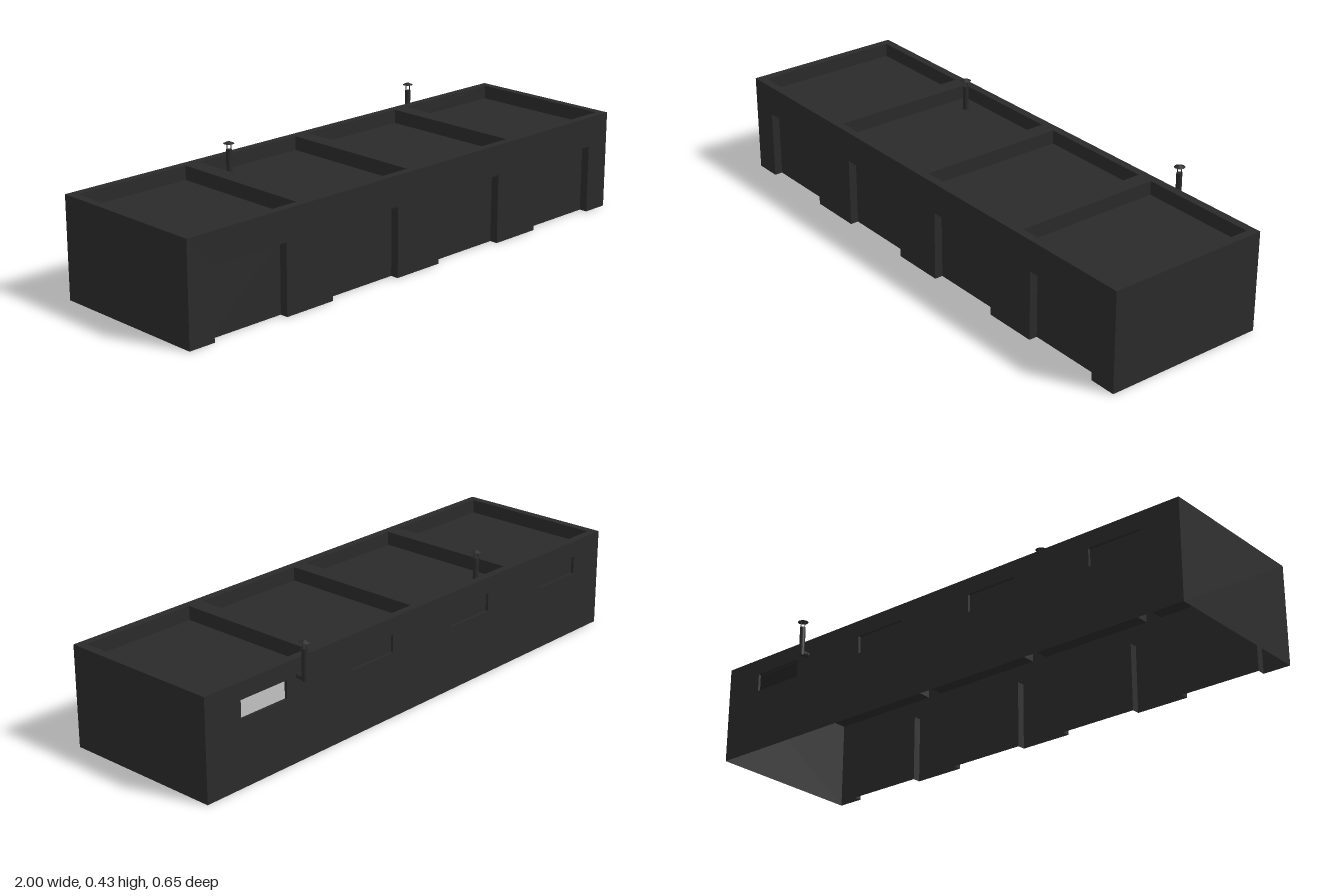
import * as THREE from 'three';

export function createModel() {
  const root = new THREE.Group();
  root.name = 'garageRow';
  const dark = new THREE.MeshStandardMaterial({ color: 0x2a2a2a, side: THREE.DoubleSide });
  dark.name = 'dark concrete';

  const add = (parent, name, geo, x = 0, y = 0, z = 0) => {
    const m = new THREE.Mesh(geo, dark);
    m.name = name;
    m.position.set(x, y, z);
    parent.add(m);
    return m;
  };
  const cyl = (parent, name, r, h, x, y, z, n = 16) =>
    add(parent, name, new THREE.CylinderGeometry(r, r, h, n), x, y, z);

  const H = 0.36, bays = [-0.75, -0.25, 0.25, 0.75];
  const rect = (x0, y0, x1, y1) =>
    [[x0, y0], [x1, y0], [x1, y1], [x0, y1]].map(p => new THREE.Vector2(...p));

  // Recess facing +z: reveals around an opening, with an optional sill and closing panel
  const recess = (name, w, h, d, { sill = true, panel = true } = {}) => {
    const g = new THREE.Group();
    g.name = name;
    for (const s of [-1, 1]) {
      add(g, 'sideReveal', new THREE.PlaneGeometry(d, h), s * w / 2, 0, -d / 2).rotation.y = -s * Math.PI / 2;
      if (s > 0 || sill) {
        add(g, s > 0 ? 'topReveal' : 'sill', new THREE.PlaneGeometry(w, d), 0, s * h / 2, -d / 2)
          .rotation.x = s * Math.PI / 2;
      }
    }
    if (panel) add(g, 'panel', new THREE.PlaneGeometry(w, h), 0, 0, -d);
    root.add(g);
    return g;
  };

  // Thin front wall with four door openings reaching the ground
  const front = new THREE.Shape();
  front.moveTo(-1, 0);
  for (const c of bays) {
    front.lineTo(c - 0.15, 0);
    front.lineTo(c - 0.15, 0.25);
    front.lineTo(c + 0.15, 0.25);
    front.lineTo(c + 0.15, 0);
  }
  front.lineTo(1, 0);
  front.lineTo(1, H);
  front.lineTo(-1, H);
  add(root, 'frontWall', new THREE.ShapeGeometry(front), 0, 0, 0.325);

  // Back wall with four high window slots
  const back = new THREE.Shape(rect(-1, 0, 1, H));
  for (const c of bays) back.holes.push(new THREE.Path(rect(c - 0.1, 0.235, c + 0.1, 0.3)));
  add(root, 'backWall', new THREE.ShapeGeometry(back), 0, 0, -0.275).rotation.y = Math.PI;

  // End walls
  for (const s of [-1, 1]) {
    add(root, 'endWall', new THREE.PlaneGeometry(0.6, H), s, H / 2, 0.025).rotation.y = s * Math.PI / 2;
  }

  // Roof rim and ribs around four sunken panels; the underside stays open
  const rim = new THREE.Shape(rect(-1, -0.3, 1, 0.3));
  for (const c of bays) rim.holes.push(new THREE.Path(rect(c - 0.22, -0.27, c + 0.22, 0.27)));
  add(root, 'roofRim', new THREE.ShapeGeometry(rim), 0, H, 0.025).rotation.x = -Math.PI / 2;

  // Doors, windows and roof panels; the window at the left end has no pane
  bays.forEach((c, i) => {
    recess('garageDoor', 0.3, 0.25, 0.03, { sill: false }).position.set(c, 0.125, 0.325);
    const win = recess('window', 0.2, 0.065, 0.01, { panel: i < 3 });
    win.position.set(c, 0.2675, -0.275);
    win.rotation.y = Math.PI;
    const roof = recess('roofPanel', 0.44, 0.54, 0.05);
    roof.position.set(c, H, 0.025);
    roof.rotation.x = -Math.PI / 2;
  });

  // Chimney pipe with a conical rain cap on thin struts
  const chimney = (x, z, bottom) => {
    const g = new THREE.Group();
    g.name = 'chimney';
    g.position.set(x, 0, z);
    cyl(g, 'pipe', 0.01, 0.4 - bottom, 0, (0.4 + bottom) / 2, 0);
    for (let i = 0; i < 4; i++) {
      const a = i * Math.PI / 2;
      cyl(g, 'capStrut', 0.0012, 0.03, Math.cos(a) * 0.0095, 0.41, Math.sin(a) * 0.0095, 6);
    }
    add(g, 'rainCap', new THREE.ConeGeometry(0.019, 0.009, 16), 0, 0.4255, 0);
    root.add(g);
    return g;
  };
  chimney(-0.39, -0.185, 0.31);

  // Rear chimney turns into the back wall through an elbow
  const rear = chimney(0.6, -0.305, 0.291);
  cyl(rear, 'elbowPipe', 0.01, 0.03, 0, 0.301, 0.015).rotation.x = Math.PI / 2;
  cyl(rear, 'wallCollar', 0.011, 0.004, 0, 0.301, 0.022).rotation.x = Math.PI / 2;
  cyl(rear, 'pipeCollar', 0.011, 0.004, 0, 0.322, 0);

  return root;
}
